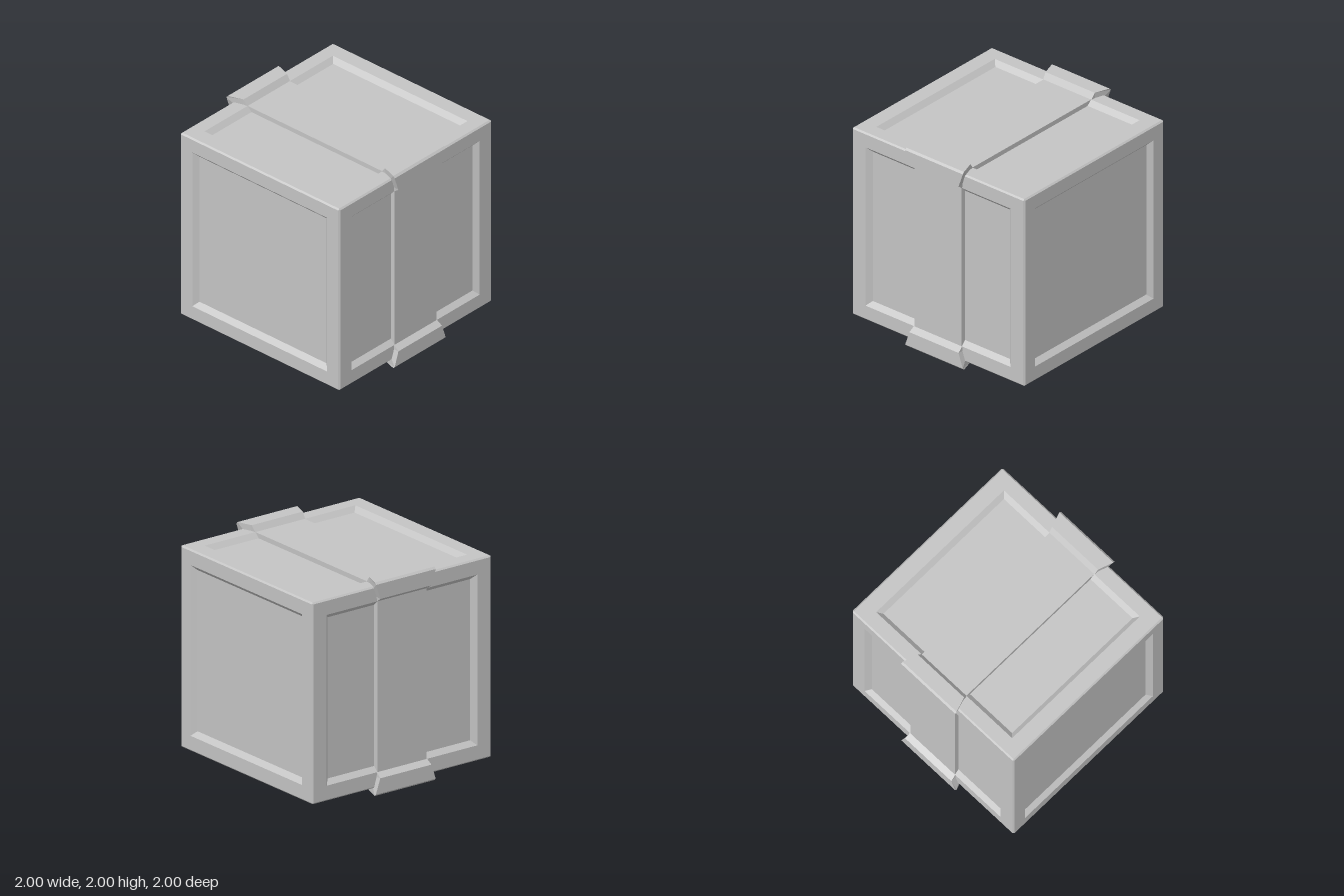
import * as THREE from 'three';

const HALF = new THREE.Vector3(0.945, 0.945, 1); // half size of the crate body
const CHAMFER = 0.014, DEPTH = 0.045, BORDER = 0.8;

// One crate side: chamfered rim, flat frame, sloped recess and sunken panel.
function sideGeometry(hu, hv, h, ou, ov) {
  const c = CHAMFER, d = DEPTH;
  const loops = [
    [hu - c / 2, hv - c / 2, h - c / 2],
    [hu - c, hv - c, h],
    [ou, ov, h],
    [ou - d, ov - d, h - d],
  ].map(([u, v, z]) => [[-u, -v, z], [u, -v, z], [u, v, z], [-u, v, z]]);
  const pos = [];
  const quad = (a, b, e, f) => pos.push(...a, ...b, ...e, ...a, ...e, ...f);
  for (let i = 0; i < 3; i++)
    for (let k = 0; k < 4; k++) {
      const n = (k + 1) % 4;
      quad(loops[i][k], loops[i][n], loops[i + 1][n], loops[i + 1][k]);
    }
  quad(...loops[3]);
  const g = new THREE.BufferGeometry();
  g.setAttribute('position', new THREE.Float32BufferAttribute(pos, 3));
  g.computeVertexNormals();
  return g;
}

// Corner clamp: bevelled L profile whose ends flare towards the outer corner.
function clampGeometry() {
  const shape = new THREE.Shape([
    [0.85, 0.85], [0.945, 0.8], [1, 0.84], [1, 0.982],
    [0.982, 1], [0.84, 1], [0.8, 0.945],
  ].map(([x, y]) => new THREE.Vector2(x, y)));
  const g = new THREE.ExtrudeGeometry(shape, { depth: 2, bevelEnabled: false });
  g.translate(0, 0, -1);
  const p = g.attributes.position;
  for (let i = 0; i < p.count; i++) {
    const inward = 2 - p.getX(i) - p.getY(i);
    p.setZ(i, p.getZ(i) * Math.max(0.28, 0.34 - 0.055 * inward / 0.16));
  }
  g.computeVertexNormals();
  return g;
}

export function createModel() {
  const crate = new THREE.Group();
  crate.name = 'crate';
  const grey = new THREE.MeshStandardMaterial({ color: 0xc4c4c4 });
  grey.name = 'plain grey';

  const add = (name, geometry, rx = 0, ry = 0, rz = 0) => {
    const mesh = new THREE.Mesh(geometry, grey);
    mesh.name = name;
    mesh.rotation.set(rx, ry, rz);
    mesh.position.y = 1;
    crate.add(mesh);
  };

  // Framed sides
  const q = Math.PI / 2, long = 0.84;
  const end = sideGeometry(HALF.x, HALF.y, HALF.z, BORDER, BORDER);
  const flank = sideGeometry(HALF.z, HALF.y, HALF.x, long, BORDER);
  const lid = sideGeometry(HALF.x, HALF.z, HALF.y, BORDER, long);
  add('frontSide', end);
  add('backSide', end, 0, Math.PI);
  add('leftSide', flank, 0, q);
  add('rightSide', flank, 0, -q);
  add('topSide', lid, -q);
  add('bottomSide', lid, q);

  // Strap bands and corner clamps around the middle
  const band = new THREE.BoxGeometry(2 * BORDER, 0.06, 0.55);
  band.translate(0, HALF.y - 0.03, 0);
  const clamp = clampGeometry();
  ['top', 'right', 'bottom', 'left'].forEach((side, i) => {
    add(side + 'Band', band, 0, 0, i * q);
    add('cornerClamp' + (i + 1), clamp, 0, 0, i * q);
  });
  return crate;
}
